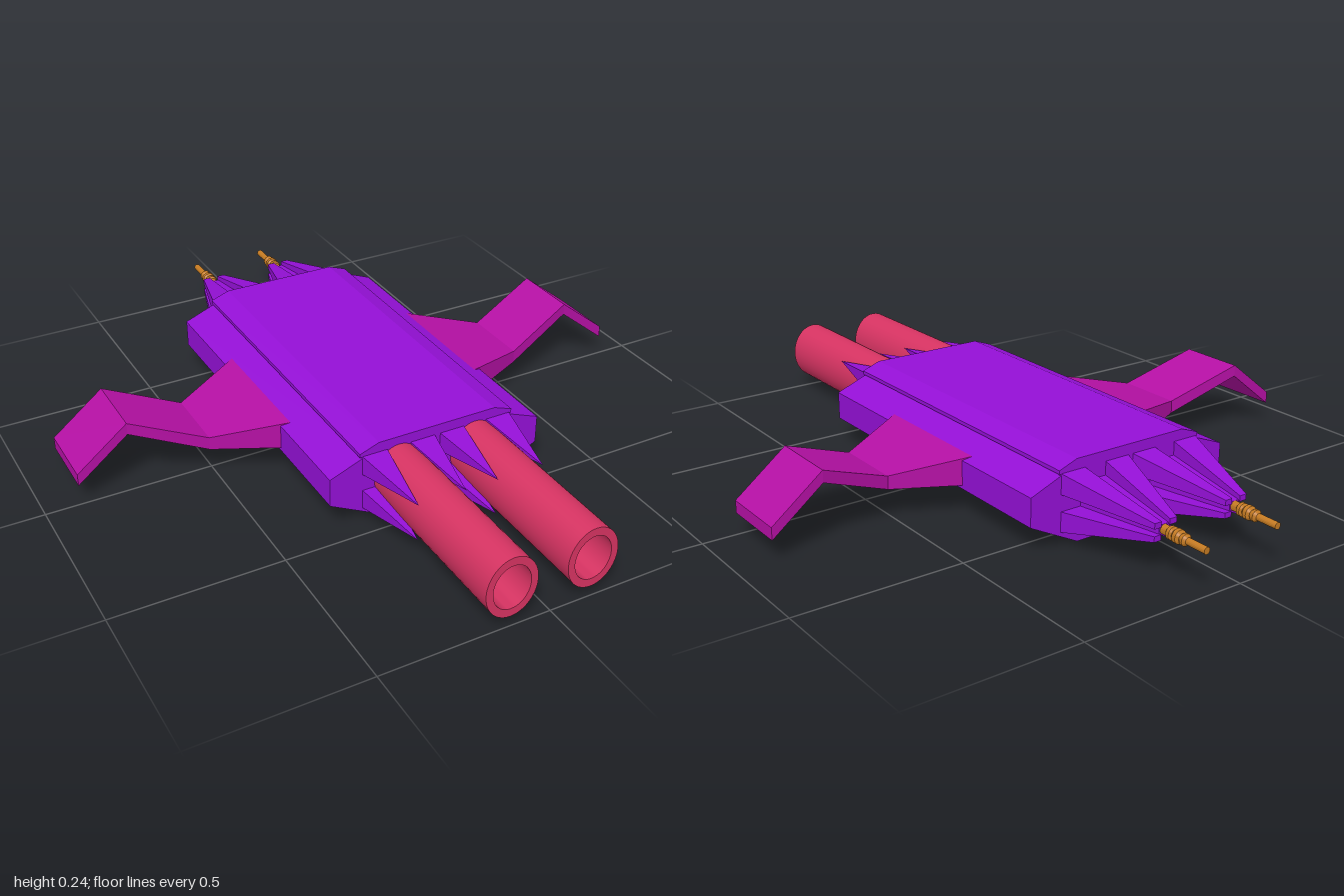
import * as THREE from 'three';
import { toCreasedNormals } from 'three/addons/utils/BufferGeometryUtils.js';
import { ConvexGeometry } from 'three/addons/geometries/ConvexGeometry.js';

const CY = 0.125; // height of the gun axis
const CX = 0.122; // sideways offset of the gun axis

const material = (name, color) => {
  const m = new THREE.MeshStandardMaterial({ color });
  m.name = name;
  return m;
};

export function createModel() {
  const purple = material('purple', 0x9410d6);
  const magenta = material('magenta', 0xb410a4);
  const red = material('red', 0xd63362);
  const bronze = material('bronze', 0xc47a22);

  const model = new THREE.Group();
  model.name = 'spacecraft';
  const add = (name, geometry, mat, parent = model) => {
    const mesh = new THREE.Mesh(geometry, mat);
    mesh.name = name;
    parent.add(mesh);
    return mesh;
  };
  const hull = (points) => new ConvexGeometry(points.map((p) => new THREE.Vector3(...p)));
  // Four corners of a rectangle across z
  const rect = (x0, x1, y0, y1, z) => [[x0, y0, z], [x1, y0, z], [x1, y1, z], [x0, y1, z]];

  // Body: faceted section with a lipped top panel
  const half = [[0.18, 0], [0.335, 0.08], [0.335, 0.165], [0.228, 0.207],
    [0.243, 0.208], [0.243, 0.219], [0.185, 0.24]];
  const outline = [...half, ...half.map(([x, y]) => [-x, y]).reverse()];
  const section = new THREE.Shape(outline.map(([x, y]) => new THREE.Vector2(x, y)));
  const body = new THREE.ExtrudeGeometry(section, { depth: 1.01, bevelEnabled: false });
  body.translate(0, 0, -0.57);
  add('body', body, purple);

  // Gun barrel: oval hollow tube
  const barrelProfile = [[0, 0.4], [1, 0.4], [1, 1], [0.73, 1], [0.73, 0.5], [0, 0.5]];
  const lathe = (profile, sides) => new THREE.LatheGeometry(
    profile.map(([r, y]) => new THREE.Vector2(r, y)), sides);
  const barrel = toCreasedNormals(lathe(barrelProfile, 40).rotateX(Math.PI / 2).scale(0.077, 0.092, 1), 0.6);

  // Tail probe: thin rod with stacked collars
  const probeProfile = [[0, 0.84], [0.014, 0.84], [0.014, 0.865], [0.019, 0.87], [0.019, 0.88], [0.013, 0.885],
    [0.02, 0.893], [0.02, 0.905], [0.013, 0.912], [0.017, 0.918], [0.017, 0.926], [0.01, 0.933], [0.01, 1], [0, 1]];
  const probe = toCreasedNormals(lathe(probeProfile, 16).rotateX(-Math.PI / 2), 0.6);

  for (const side of [-1, 1]) {
    const label = side > 0 ? 'left' : 'right';
    const gun = new THREE.Group();
    gun.name = label + 'Engine';
    gun.position.set(side * CX, CY, 0);
    model.add(gun);

    add('barrel', barrel, red, gun).position.y = -0.002;
    add('tailProbe', probe, bronze, gun);
    add('tailCore', hull([
      ...rect(-0.05, 0.05, -0.045, 0.045, -0.56),
      ...rect(-0.017, 0.017, -0.014, 0.014, -0.845)]), purple, gun);

    // Corner claws round the barrel and tapering fins round the probe
    for (const sx of [-1, 1]) for (const sy of [-1, 1]) {
      add('frontClaw', hull([
        ...rect(sx * 0.035, sx * 0.115, sy * 0.025, sy * 0.086, 0.43),
        [sx * 0.072, sy * 0.056, 0.67]]), purple, gun);
      add('tailFin', hull([
        ...rect(sx * 0.036, sx * 0.117, sy * 0.025, sy * 0.086, -0.56),
        ...rect(sx * 0.014, sx * 0.037, sy * 0.01, sy * 0.026, -0.85)]), purple, gun);
    }

    // Gull wing stations: x, bottom, top, back z, front z
    const stations = [
      [0.305, 0.09, 0.176, -0.268, 0.148],
      [0.52, 0.094, 0.134, -0.165, 0.05],
      [0.742, 0.186, 0.222, -0.213, 0],
      [0.897, 0.063, 0.1, -0.213, 0],
    ];
    const corners = ([x, y0, y1, z0, z1]) => [
      [side * x, y0, z0], [side * x, y1, z0], [side * x, y0, z1], [side * x, y1, z1]];
    const wing = new THREE.Group();
    wing.name = label + 'Wing';
    model.add(wing);
    ['wingRoot', 'wingMiddle', 'wingTip'].forEach((name, i) => {
      add(name, hull([...corners(stations[i]), ...corners(stations[i + 1])]), magenta, wing);
    });
  }
  return model;
}
